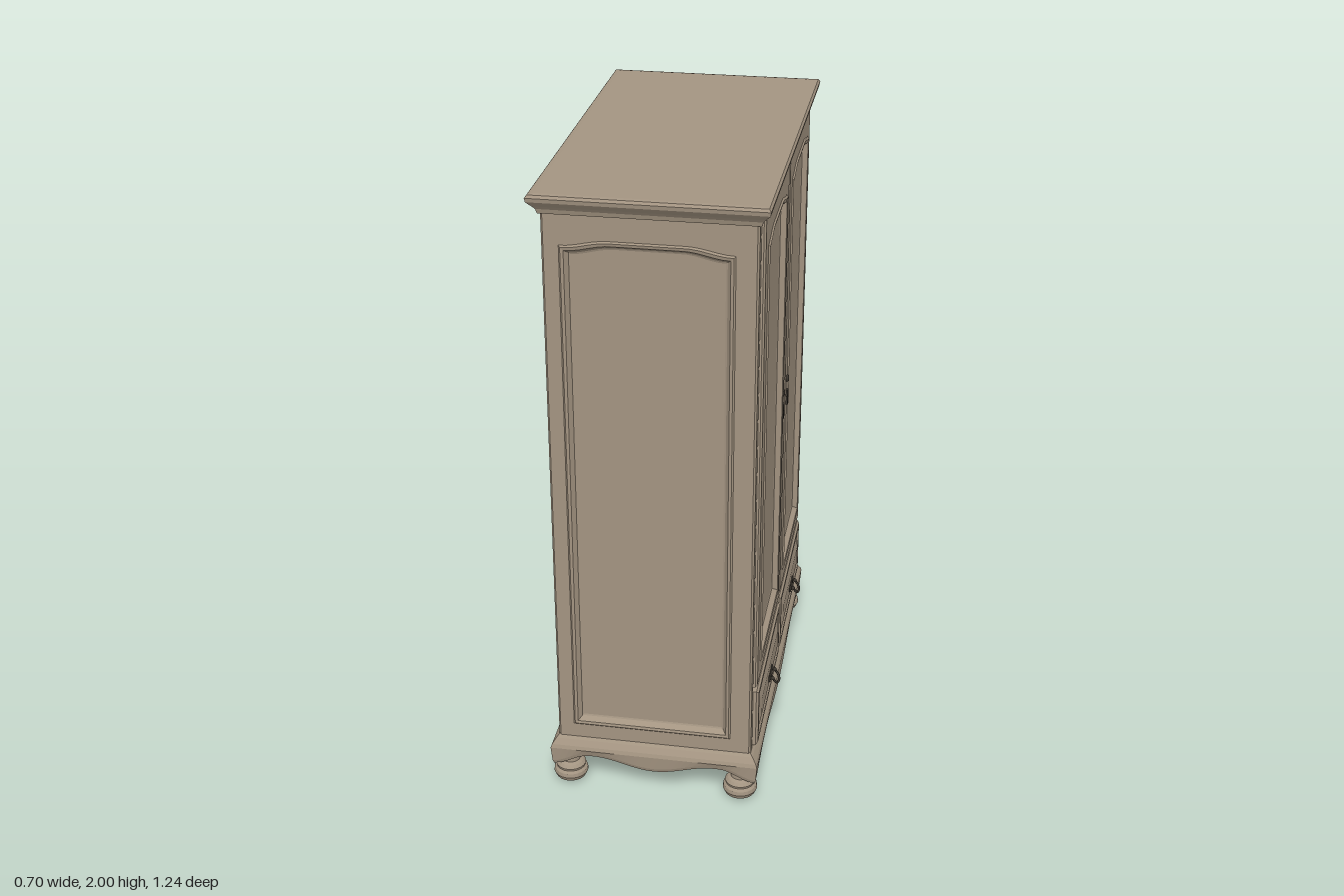
import * as THREE from 'three';

const wood = new THREE.MeshStandardMaterial({ color: 0xa39481 });
wood.name = 'greyed wood';
wood.flatShading = true;
const metal = new THREE.MeshStandardMaterial({ color: 0x3b362f });
metal.name = 'dark metal';

// Carcass extents
const X0 = -0.315, X1 = 0.3, Z = 0.585;

// Skins a sequence of equal-length rings (counter-clockwise seen from the last one)
function loft(rings, cap) {
  const pos = [];
  const tri = (a, b, c) => pos.push(...a, ...b, ...c);
  for (let r = 0; r < rings.length - 1; r++) {
    const a = rings[r], b = rings[r + 1], n = a.length;
    for (let i = 0; i < n; i++) {
      const j = (i + 1) % n;
      tri(a[i], a[j], b[j]);
      tri(a[i], b[j], b[i]);
    }
  }
  if (cap) {
    const last = rings[rings.length - 1], n = last.length;
    const mid = [0, 1, 2].map(k => last.reduce((s, p) => s + p[k], 0) / n);
    last.forEach((p, i) => tri(mid, p, last[(i + 1) % n]));
  }
  const g = new THREE.BufferGeometry();
  g.setAttribute('position', new THREE.Float32BufferAttribute(pos, 3));
  g.computeVertexNormals();
  return g;
}

function add(parent, name, geometry, material, x = 0, y = 0, z = 0) {
  const m = new THREE.Mesh(geometry, material);
  m.name = name;
  m.position.set(x, y, z);
  parent.add(m);
  return m;
}

// Panel outline facing +z whose top edge rises in a shouldered arch
function outline(l, r, b, t, depth, arch = 0) {
  const pts = [[l, b, depth], [r, b, depth]];
  const n = 20;
  for (let i = 0; i <= n; i++) {
    const u = i / n;
    const k = Math.min(1, Math.min(u, 1 - u) / 0.28);
    pts.push([r + (l - r) * u, t + arch * (1 - Math.cos(Math.PI * k)) / 2, depth]);
  }
  return pts;
}

// Frame with a moulded, recessed field; i = [left, right, bottom, top] opening
function framedPanel(o, i, back, arch) {
  const ring = (m, d) => outline(i[0] - m, i[1] + m, i[2] - m, i[3] + m, d, arch);
  const e = 0.006;
  return loft([
    outline(...o, back), outline(...o, -e),
    outline(o[0] + e, o[1] - e, o[2] + e, o[3] - e, 0),
    ring(0.03, 0), ring(0.025, 0.005), ring(0.016, 0.003), ring(0.005, -0.014), ring(0, -0.016),
  ], true);
}

// Rectangular ring around the carcass; yAt(u, alongX) gives the height on each side
function band(offset, yAt) {
  const l = X0 - offset, r = X1 + offset, z = Z + offset, n = 32, pts = [];
  const corners = [[r, z], [r, -z], [l, -z], [l, z]];
  corners.forEach((c, s) => {
    const d = corners[(s + 1) % 4];
    for (let i = 0; i < n; i++) {
      const u = i / n;
      const y = typeof yAt === 'number' ? yAt : yAt(2 * u - 1, s % 2 === 1);
      pts.push([c[0] + (d[0] - c[0]) * u, y, c[1] + (d[1] - c[1]) * u]);
    }
  });
  return pts;
}

// Scalloped lower edge of the plinth
function scallop(u, alongX) {
  const a = Math.abs(u);
  const wave = (1 + Math.cos(Math.PI * Math.min(1, a / 0.6))) / 2;
  const end = Math.max(0, (a - 0.65) / 0.35);
  const high = alongX ? 0.115 : 0.095, drop = alongX ? 0.035 : 0.04;
  return high - drop * wave - (high - 0.075) * end * end * (3 - 2 * end);
}

function drawerPull() {
  const g = new THREE.Group();
  g.name = 'drawerPull';
  const plate = add(g, 'pullPlate', new THREE.SphereGeometry(1, 14, 8), metal);
  plate.scale.set(0.028, 0.013, 0.005);
  for (const s of [-1, 1]) {
    const wing = add(g, 'pullWing', new THREE.SphereGeometry(1, 10, 6), metal, s * 0.032, 0.004);
    wing.scale.set(0.014, 0.012, 0.005);
    add(g, 'pullStud', new THREE.SphereGeometry(0.007, 8, 6), metal, s * 0.026, 0.004, 0.01);
  }
  const bail = new THREE.CatmullRomCurve3([
    [-0.026, 0.004, 0.01], [-0.024, -0.012, 0.022], [0, -0.018, 0.028],
    [0.024, -0.012, 0.022], [0.026, 0.004, 0.01]].map(p => new THREE.Vector3(...p)));
  add(g, 'pullBail', new THREE.TubeGeometry(bail, 16, 0.004, 6), metal);
  return g;
}

export function createModel() {
  const root = new THREE.Group();
  root.name = 'wardrobe';

  // Carcass core, open to the plinth below
  add(root, 'carcass', new THREE.BoxGeometry(0.6, 1.8, 1.12), wood, X0 + 0.3, 1.06, 0);

  // Framed side walls
  for (const s of [1, -1]) {
    const o = s > 0 ? [X0, X1, 0.15, 1.96] : [-X1, -X0, 0.15, 1.96];
    const i = s > 0 ? [-0.235, 0.205, 0.255, 1.815] : [-0.205, 0.235, 0.255, 1.815];
    const side = add(root, 'sidePanel', framedPanel(o, i, -0.035, 0.02), wood, 0, 0, s * Z);
    if (s < 0) side.rotation.y = Math.PI;
  }

  // Doors and drawers, laid out on a front plane turned to face +x
  const front = new THREE.Group();
  front.name = 'front';
  front.rotation.y = Math.PI / 2;
  front.position.x = 0.312;
  root.add(front);
  for (const s of [-1, 1]) {
    const span = (a, b) => (s > 0 ? [a, b] : [-b, -a]);
    add(front, 'door', framedPanel(
      [...span(0.007, 0.546), 0.4, 1.943], [...span(0.1, 0.458), 0.49, 1.815], -0.03, 0.025), wood);

    const [l, r] = span(0.012, 0.546);
    const step = (m, d) => outline(l + m, r - m, 0.182 + m, 0.384 - m, d);
    add(front, 'drawerFront', loft([
      step(0, -0.03), step(0, -0.002), step(0.008, 0.005), step(0.022, 0.005),
      step(0.034, 0), step(0.07, 0.008)], true), wood);

    const pull = drawerPull();
    pull.position.set(s * 0.28, 0.272, 0.01);
    front.add(pull);

    // Keyhole plate and small knob
    add(front, 'keyPlate', new THREE.BoxGeometry(0.016, 0.05, 0.006), metal, s * 0.053, 1.118, 0.003);
    add(front, 'keyPlateTop', new THREE.BoxGeometry(0.026, 0.016, 0.006), metal, s * 0.053, 1.132, 0.003);
    const knob = add(front, 'doorStud', new THREE.SphereGeometry(0.012, 10, 8), metal, s * 0.053, 1.182, 0.002);
    knob.scale.z = 0.5;
  }

  // Cornice
  add(root, 'cornice', loft([
    band(-0.02, 1.938), band(0.006, 1.938), band(0.01, 1.952), band(0.018, 1.962), band(0.027, 1.972),
    band(0.032, 1.978), band(0.034, 1.99), band(0.028, 1.998), band(0.015, 2)], true), wood);

  // Scalloped plinth, hollow underneath
  add(root, 'plinth', loft([
    band(-0.02, 0.165), band(-0.015, scallop), band(0.016, scallop),
    band(0.02, (u, x) => scallop(u, x) + 0.012), band(0.024, 0.138), band(0.02, 0.15),
    band(0.008, 0.168), band(-0.005, 0.182)], false), wood);

  // Bun feet
  const foot = new THREE.LatheGeometry([
    [0, 0], [0.03, 0.002], [0.048, 0.014], [0.055, 0.029], [0.053, 0.042], [0.046, 0.05],
    [0.048, 0.058], [0.04, 0.068], [0.03, 0.074], [0.03, 0.15], [0, 0.15],
  ].map(p => new THREE.Vector2(...p)), 20);
  for (const x of [-0.285, 0.265]) {
    for (const z of [-0.56, 0.56]) add(root, 'foot', foot, wood, x, 0, z);
  }
  return root;
}
